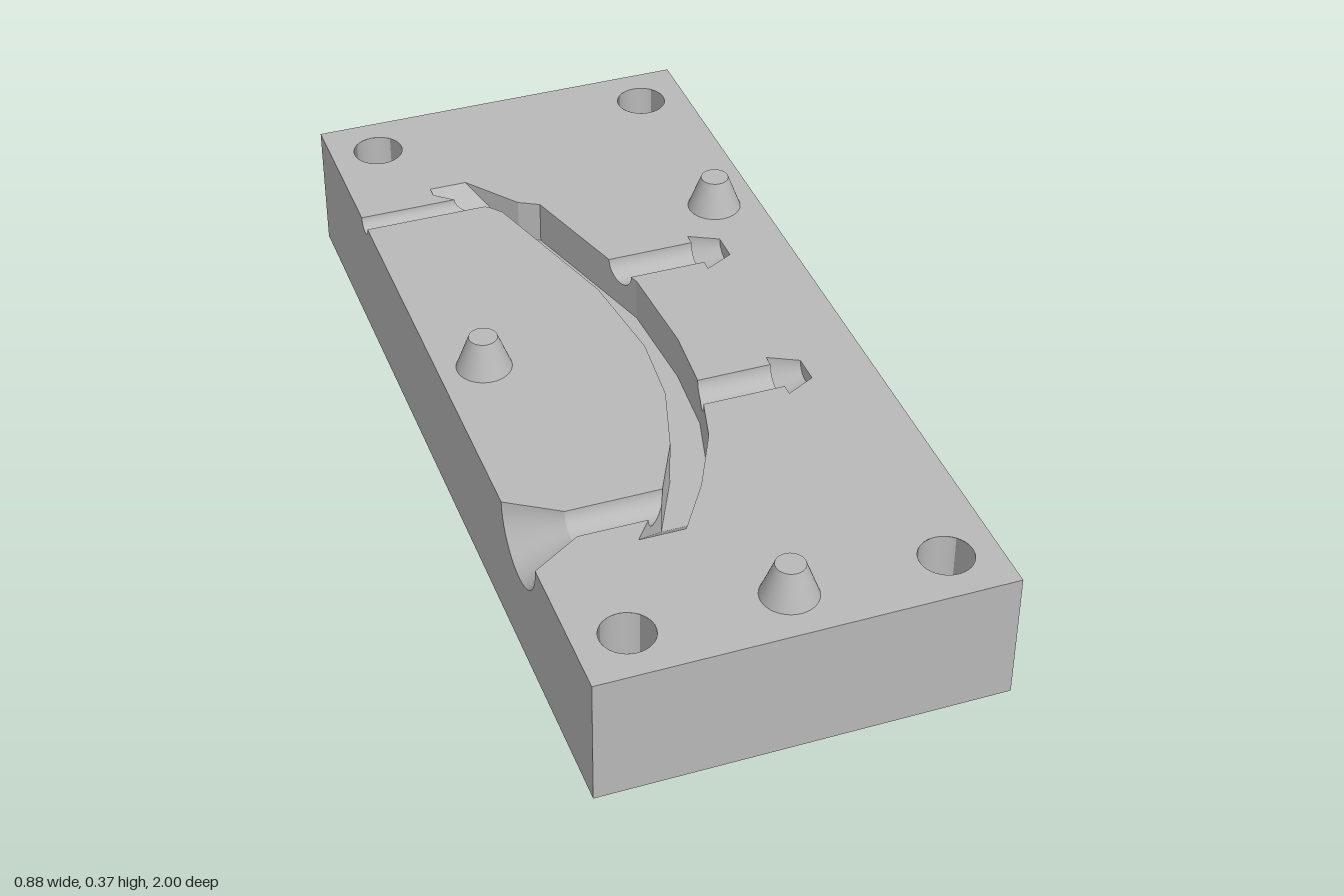
import * as THREE from 'three';
import { mergeGeometries } from 'three/addons/utils/BufferGeometryUtils.js';

const W = 0.44, L = 1, H = 0.295, STEPS = 20;

// Plan of the curved cavity: [z, left x, right x, depth]
const cavity = [
  [-0.685, -0.26, -0.175, 0], [-0.66, -0.26, -0.156, 0.02], [-0.565, -0.15, -0.085, 0.096],
  [-0.54, -0.13, -0.04, 0.1], [-0.18, -0.022, 0.068, 0.1], [0.05, 0.005, 0.08, 0.1],
  [0.22, -0.01, 0.068, 0.1], [0.38, -0.058, 0.026, 0.1], [0.525, -0.13, -0.045, 0.1], [0.64, -0.22, -0.12, 0],
];
const at = (z, k) => {
  let i = 1;
  while (i < cavity.length - 1 && z > cavity[i][0]) i++;
  const [a, b] = [cavity[i - 1], cavity[i]];
  return a[k] + (b[k] - a[k]) * (z - a[0]) / (b[0] - a[0]);
};
const leftX = z => at(z, 1), rightX = z => at(z, 2), depth = z => at(z, 3);

// Half-round channels that open into the cavity
const sprue = { z: 0.55, r: 0.04, side: -1 };
const vent = { z: -0.6, r: 0.025, side: -1 };
const ties = [0.24, -0.24].map(z => ({ z, r: 0.04, side: 1 }));
const channels = [sprue, vent, ...ties];
const arc = (c, r) => Array.from({ length: STEPS + 1 }, (_, j) => {
  const t = Math.PI * j / STEPS;
  return [c + r * Math.cos(t), H - r * Math.sin(t)];
});
const rimY = (z, side) => {
  const c = channels.find(k => k.side === side && Math.abs(z - k.z) < k.r);
  return c ? H - Math.sqrt(c.r ** 2 - (z - c.z) ** 2) : H;
};

// Surface between two rows of points
function ribbon(a, b, flat) {
  const n = a.length, index = [];
  for (let j = 0; j < n - 1; j++) index.push(j, n + j, j + 1, n + j, n + j + 1, j + 1);
  let g = new THREE.BufferGeometry();
  g.setAttribute('position', new THREE.Float32BufferAttribute([...a, ...b].flat(), 3));
  g.setIndex(index);
  g = flat ? g.toNonIndexed() : g;
  g.computeVertexNormals();
  return g;
}

// Half-round channel from stations [x or x(z), radius]
function channelGeometry(zc, stations) {
  const rows = stations.map(([x, r]) => arc(zc, r).map(([z, y]) => [typeof x === 'function' ? x(z) : x, y, z]));
  return mergeGeometries(rows.slice(1).map((row, i) => ribbon(rows[i], row, false)));
}

const shapeOf = pts => new THREE.Shape(pts.map(p => new THREE.Vector2(...p)));

export function createModel() {
  const model = new THREE.Group();
  const grey = new THREE.MeshStandardMaterial({ color: 0xb8b8b8, side: THREE.DoubleSide });
  grey.name = 'mould grey';
  const add = (name, geo, x = 0, y = 0, z = 0) => {
    const m = new THREE.Mesh(geo, grey);
    m.name = name;
    m.position.set(x, y, z);
    model.add(m);
    return m;
  };

  // Corner bolt holes
  const holes = [[-0.33, -0.885], [0.33, -0.885], [-0.33, 0.885], [0.33, 0.885]];
  const plate = pts => {
    const s = shapeOf(pts.map(([x, z]) => [x, -z]));
    return s;
  };
  const drill = s => {
    for (const [x, z] of holes) s.holes.push(new THREE.Path().absarc(x, -z, 0.057, 0, Math.PI * 2, true));
    return s;
  };
  for (const [x, z] of holes) {
    const g = new THREE.CylinderGeometry(0.057, 0.057, H, 32, 1, true);
    g.scale(-1, 1, 1);
    g.attributes.normal.array.forEach((v, i, a) => { if (i % 3 !== 1) a[i] = i % 3 === 0 ? v : -v; });
    add('boltHole', g, x, H / 2, z);
  }

  // Rim of the cavity, listed from front to back between two z values
  const rim = (k, z0, z1) => {
    const mid = cavity.filter(c => c[0] < z0 - 1e-6 && c[0] > z1 + 1e-6).map(c => [c[k], c[0]]).reverse();
    return [[at(z0, k), z0], ...mid, [at(z1, k), z1]];
  };
  const barb = c => [[0.235, c + 0.04], [0.235, c + 0.066], [0.3, c + 0.032],
    [0.3, c - 0.032], [0.235, c - 0.066], [0.235, c - 0.04]];

  // Top face: main part and the island enclosed by the channels
  const mainTop = plate([
    [-W, -L], [W, -L], [W, L], [-W, L],
    [-W, 0.66], [-0.33, 0.59], ...rim(1, 0.64, 0.59).reverse(),
    ...rim(2, 0.64, 0.28), ...barb(0.24), ...rim(2, 0.2, -0.2), ...barb(-0.24), ...rim(2, -0.28, -0.685),
    ...rim(1, -0.625, -0.685).reverse(), [-W, -0.625],
  ]);
  // Left rim at the back runs from the tip towards the vent
  const backRim = rim(1, -0.625, -0.685).reverse();
  const island = plate([[-W, -0.575], ...rim(1, 0.51, -0.575).reverse(), [-0.33, 0.51], [-W, 0.44]]);
  const tops = [drill(mainTop), island].map(s => new THREE.ShapeGeometry(s, 32).rotateX(-Math.PI / 2));
  add('topFace', mergeGeometries(tops), 0, H, 0);
  const base = drill(plate([[-W, -L], [W, -L], [W, L], [-W, L]]));
  add('baseFace', new THREE.ShapeGeometry(base, 32).rotateX(Math.PI / 2).scale(1, 1, -1).rotateY(0), 0, 0, 0);

  // Outer sides; the right one is notched by the sprue and vent
  add('frontSide', new THREE.PlaneGeometry(2 * W, H), 0, H / 2, L);
  add('backSide', new THREE.PlaneGeometry(2 * W, H).rotateY(Math.PI), 0, H / 2, -L);
  add('leftSide', new THREE.PlaneGeometry(2 * L, H).rotateY(Math.PI / 2), W, H / 2, 0);
  const notched = shapeOf([[-L, 0], [L, 0], [L, H], ...arc(0.55, 0.11), ...arc(-0.6, 0.025), [-L, H]]);
  add('rightSide', new THREE.ShapeGeometry(notched).rotateY(-Math.PI / 2), -W, 0, 0);

  // Curved cavity: left wall, floor with ramped ends, right wall
  const zs = [...new Set([...cavity.map(c => c[0]),
    ...channels.flatMap(c => arc(c.z, c.r).map(p => p[0]))].map(z => +z.toFixed(5)))].sort((a, b) => b - a);
  const section = [
    zs.map(z => [leftX(z), rimY(z, -1), z]), zs.map(z => [leftX(z), H - depth(z), z]),
    zs.map(z => [rightX(z), H - depth(z), z]), zs.map(z => [rightX(z), rimY(z, 1), z]),
  ];
  ['cavityLeftWall', 'cavityFloor', 'cavityRightWall'].forEach((name, i) =>
    add(name, ribbon(section[i], section[i + 1], true)));

  // Pouring funnel, air vent and barbed side channels
  add('sprue', channelGeometry(sprue.z, [[-W, 0.11], [-0.33, 0.04], [leftX, 0.04]]));
  add('vent', channelGeometry(vent.z, [[-W, 0.025], [leftX, 0.025]]));
  for (const { z, r } of ties) {
    add('barbedChannel', channelGeometry(z, [[rightX, r], [0.235, r], [0.235, 0.066], [0.3, 0.032], [0.3, 0]]));
  }

  // Tapered locating pins
  for (const [x, z] of [[-0.34, 0], [0.337, -0.405], [0, 0.885]]) {
    add('locatingPin', new THREE.CylinderGeometry(0.031, 0.06, 0.077, 40), x, H + 0.0385, z);
  }
  return model;
}
